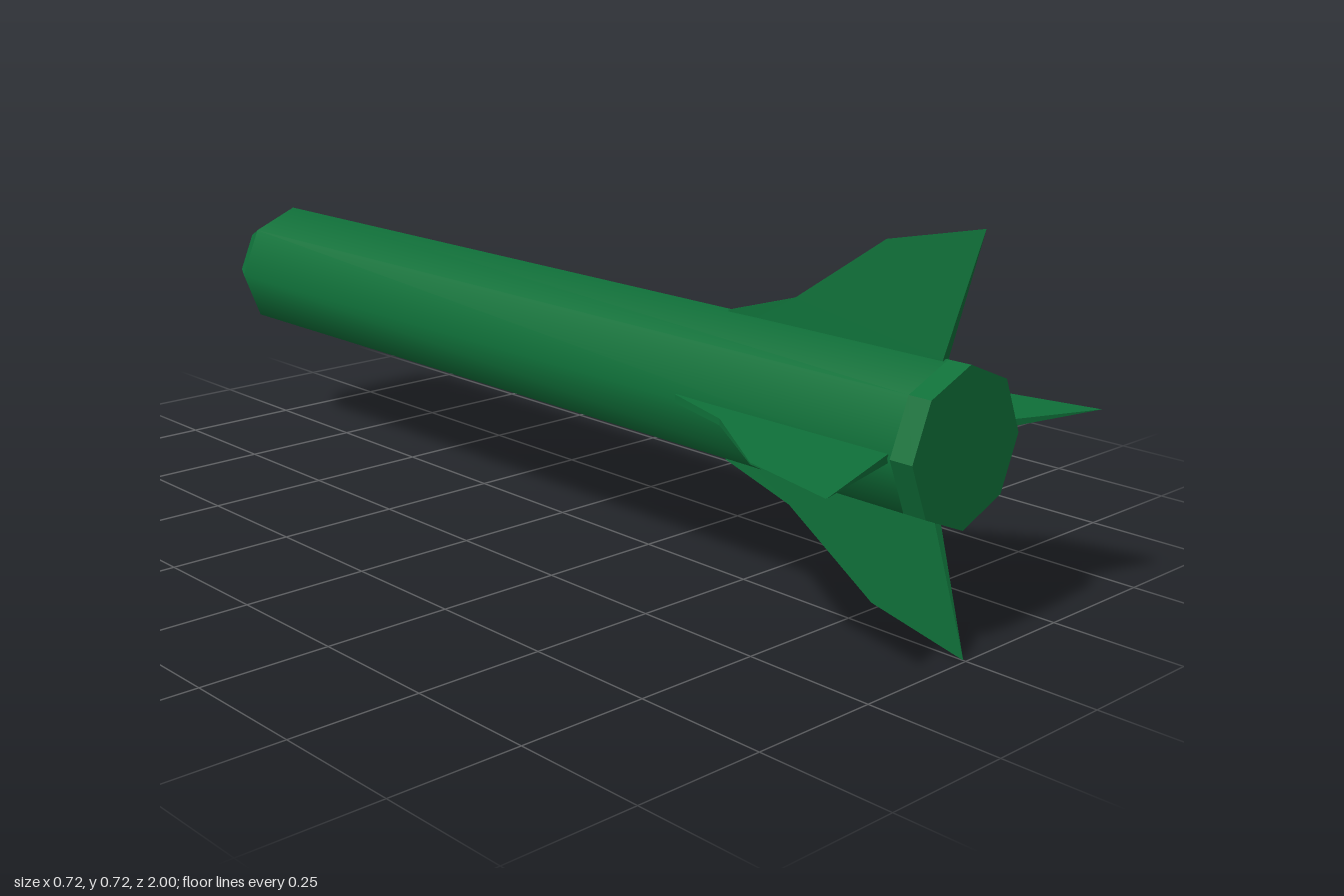
import * as THREE from 'three';

const R = 0.14, CENTER_Y = 0.363, TIP = 0.362, HALF_ROOT = 0.0075;

export function createModel() {
  const group = new THREE.Group();
  const smooth = new THREE.MeshStandardMaterial({ color: 0x0f7039 });
  const flat = new THREE.MeshStandardMaterial({ color: 0x0f7039, flatShading: true });

  function add(name, geometry, material) {
    const mesh = new THREE.Mesh(geometry, material);
    mesh.name = name;
    mesh.position.y = CENTER_Y;
    group.add(mesh);
    return mesh;
  }

  // Eight-sided section lying along z, from zBack to zFront
  function section(rFront, rBack, zBack, zFront, open) {
    return new THREE.CylinderGeometry(rFront, rBack, zFront - zBack, 8, 1, open)
      .rotateX(Math.PI / 2)
      .translate(0, 0, (zFront + zBack) / 2);
  }

  // Long smooth tube, with a faceted collar at the fins and a bevelled far end
  add('body', section(R, R, -0.94, 0.935, true), smooth);
  add('tailCollar', section(R, R, 0.935, 0.98, false), flat);
  add('noseBevel', section(R, 0.107, -1, -0.94, false), flat);

  // Swept fin outline: x = distance along the body, y = distance from the axis
  const outline = new THREE.Shape([
    [0.46, 0.1], [0.93, 0.1], [0.93, R], [0.995, TIP], [0.8, 0.318], [0.61, 0.188], [0.455, R],
  ].map(([z, r]) => new THREE.Vector2(z, r)));
  const finGeometry = new THREE.ExtrudeGeometry(outline, { depth: 2, bevelEnabled: false });
  finGeometry.translate(0, 0, -1);

  // Taper the thickness from the root to a sharp tip
  const p = finGeometry.attributes.position;
  for (let i = 0; i < p.count; i++) {
    const t = Math.min(1, (TIP - p.getY(i)) / (TIP - R));
    p.setZ(i, p.getZ(i) * HALF_ROOT * t);
  }
  finGeometry.rotateY(-Math.PI / 2);
  finGeometry.computeVertexNormals();

  // Four fins around the body
  ['topFin', 'rightFin', 'bottomFin', 'leftFin'].forEach((name, i) => {
    add(name, finGeometry, flat).rotation.z = i * Math.PI / 2;
  });

  return group;
}
